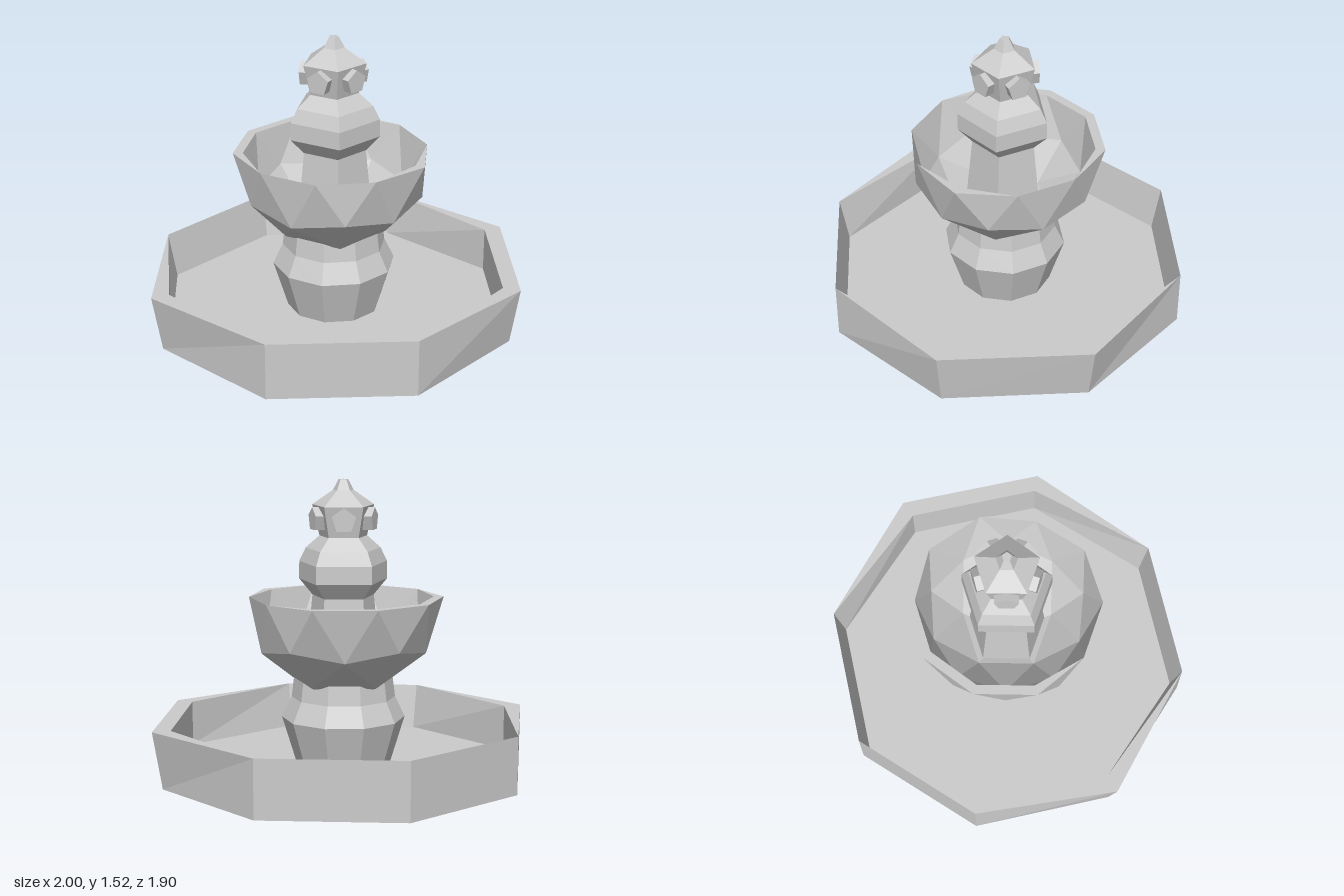
import * as THREE from 'three';

const RAD = Math.PI / 180;
const material = new THREE.MeshStandardMaterial({ color: 0xcccccc, flatShading: true });

// Point at an azimuth measured from +z towards +x
const polar = (r, deg, y) => [r * Math.sin(deg * RAD), y, r * Math.cos(deg * RAD)];
const ring = (n, r, y, start = 0) =>
  Array.from({ length: n }, (_, i) => polar(r, start + (i * 360) / n, y));
// Copy of a ring with some corners replaced by [x, z]
const moved = (points, changes) =>
  points.map((p, i) => (changes[i] ? [changes[i][0], p[1], changes[i][1]] : p));
const at = (list, i) => list[(i + list.length) % list.length];

// Collects triangles; zero-area ones are skipped
class Faces {
  constructor() { this.data = []; }
  tri(a, b, c, flip = false) {
    const same = (p, q) => p.every((v, i) => Math.abs(v - q[i]) < 1e-6);
    if (same(a, b) || same(b, c) || same(a, c)) return;
    this.data.push(...a, ...(flip ? c : b), ...(flip ? b : c));
  }
  strip(a, b) {
    a.forEach((p, i) => {
      this.tri(p, at(a, i + 1), at(b, i + 1));
      this.tri(p, at(b, i + 1), b[i]);
    });
  }
  cap(a, y, flip = false) {
    a.forEach((p, i) => this.tri(p, at(a, i + 1), [0, y, 0], flip));
  }
  mesh(name) {
    const g = new THREE.BufferGeometry();
    g.setAttribute('position', new THREE.Float32BufferAttribute(this.data, 3));
    g.computeVertexNormals();
    return named(g, name);
  }
}

function named(geometry, name) {
  const mesh = new THREE.Mesh(geometry, material);
  mesh.name = name;
  return mesh;
}

// Faceted turned part from [radius, height] pairs
function turned(name, sides, start, profile) {
  const points = profile.map(([r, y]) => new THREE.Vector2(r, y));
  return named(new THREE.LatheGeometry(points, sides, start * RAD), name);
}

// Octagonal basin with an uneven rim
function basin() {
  const f = new Faces();
  const top = 0.295, floorY = 0.06;
  const base = ring(8, 0.95, 0);
  const outer = moved(ring(8, 0.95, top), { 1: [0.705, 0.705], 2: [1, 0], 6: [-1, 0] });
  const inner = moved(ring(8, 0.95, top), { 1: [0.64, 0.64], 2: [0.905, 0], 6: [-0.905, 0] });
  const floor = ring(8, 0.905, floorY);
  f.strip(base, outer);
  f.strip(outer, inner);
  f.strip(inner, floor);
  f.cap(floor, floorY);
  f.cap(base, 0, true);
  return f.mesh('basin');
}

// Half of a faceted sphere, opening upwards, closed by the given rim
function halfSphere(f, r, y, rim, flip) {
  const low = ring(5, r * 0.526, y - r * 0.851, -18);
  const mid = Array.from({ length: 10 }, (_, j) => (j % 2
    ? polar(r * 0.851, -18 + 36 * j, y - r * 0.526)
    : polar(r * 0.894, -18 + 36 * j, y - r * 0.447)));
  low.forEach((p, k) => {
    const next = at(low, k + 1), side = at(mid, 2 * k + 1);
    f.tri([0, y - r, 0], next, p, flip);
    f.tri(p, side, mid[2 * k], flip);
    f.tri(p, mid[2 * k], at(mid, 2 * k - 1), flip);
    f.tri(p, next, side, flip);
  });
  mid.forEach((p, j) => {
    f.tri(p, at(mid, j + 1), rim[j], flip);
    f.tri(rim[j], at(mid, j + 1), at(rim, j + 1), flip);
  });
}

function bowl() {
  const f = new Faces();
  const y = 0.925;
  const outer = moved(ring(10, 0.51, y), {
    0: [0, 0.48], 2: [0.455, 0.15], 3: [0.455, -0.16], 8: [-0.46, 0.14], 9: [-0.28, 0.39],
  });
  const inner = moved(ring(10, 0.46, y), {
    0: [0, 0.48], 2: [0.455, 0.15], 3: [0.455, -0.16], 8: [-0.46, 0.14], 9: [-0.28, 0.39],
  });
  halfSphere(f, 0.51, y, outer, false);
  halfSphere(f, 0.46, y, inner, true);
  f.strip(outer, inner);
  return f.mesh('bowl');
}

export function createModel() {
  const model = new THREE.Group();
  model.name = 'fountain';
  model.add(basin(), bowl());

  // Flared foot under the bowl
  model.add(turned('pedestal', 10, 0,
    [[0.24, 0.06], [0.315, 0.305], [0.265, 0.41], [0.25, 0.53]]));

  // Five-sided column, urn and capped head
  model.add(turned('column', 5, -18, [[0.21, 0.48], [0.165, 0.93]]));
  model.add(turned('urn', 5, -18,
    [[0, 0.93], [0.165, 0.93], [0.237, 1.01], [0.235, 1.1], [0.2, 1.17], [0.125, 1.235]]));
  model.add(turned('head', 5, -18, [[0.125, 1.225], [0.165, 1.39]]));
  model.add(turned('roof', 5, -18,
    [[0.165, 1.39], [0.055, 1.465], [0.025, 1.52], [0, 1.52]]));

  // Spouts, one on each side of the head
  const spoutShape = new THREE.CylinderGeometry(0.062, 0.062, 0.09, 5);
  spoutShape.rotateY(Math.PI).rotateX(Math.PI / 2);
  for (let i = 0; i < 5; i++) {
    const azimuth = 18 + 72 * i;
    const spout = named(spoutShape, 'spout');
    spout.position.set(...polar(0.12, azimuth, 1.322));
    spout.rotation.y = azimuth * RAD;
    model.add(spout);
  }
  return model;
}
